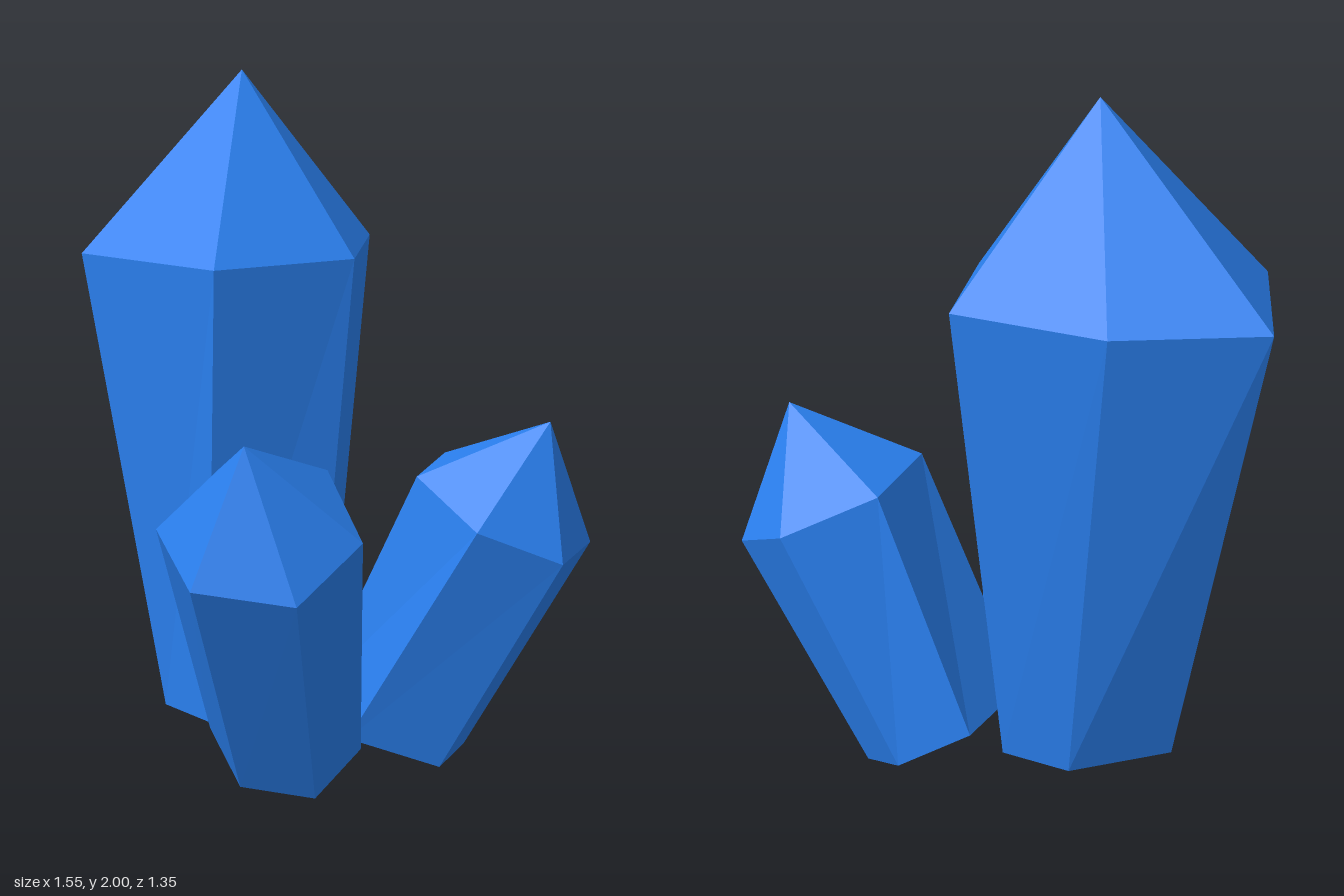
import * as THREE from 'three';

const blue = new THREE.MeshStandardMaterial({ color: 0x2a80f0, flatShading: true });
const cyan = new THREE.MeshStandardMaterial({ color: 0x10d4ee, flatShading: true });

const vec = (p) => new THREE.Vector3(...p);

function centre(loop) {
  const c = new THREE.Vector3();
  loop.forEach((p) => c.add(p));
  return c.divideScalar(loop.length);
}

// Shrinks a loop toward its centre and moves it along an offset
function inset(loop, scale, offset) {
  const c = centre(loop);
  return loop.map((p) => p.clone().sub(c).multiplyScalar(scale).add(c).add(offset));
}

// Joins successive loops, listed from the top of the surface downward
function skin(name, loops, material) {
  const points = [];
  for (let k = 0; k + 1 < loops.length; k++) {
    const up = loops[k], low = loops[k + 1], n = up.length;
    for (let i = 0; i < n; i++) {
      const j = (i + 1) % n;
      points.push(low[i], low[j], up[j], low[i], up[j], up[i]);
    }
  }
  // Drop the collapsed triangles at tips
  const kept = [];
  for (let i = 0; i < points.length; i += 3) {
    const [a, b, c] = points.slice(i, i + 3);
    if (new THREE.Triangle(a, b, c).getArea() > 1e-7) kept.push(a, b, c);
  }
  const geometry = new THREE.BufferGeometry().setFromPoints(kept);
  geometry.computeVertexNormals();
  const mesh = new THREE.Mesh(geometry, material);
  mesh.name = name;
  return mesh;
}

// Six-sided pointed crystal with a hollow in its base
function crystal(name, { tip, shoulder, base }) {
  const top = shoulder.map(vec), foot = base.map(vec);
  const apex = top.map(() => vec(tip));
  const axis = centre(top).sub(centre(foot)).normalize();
  const rim = inset(foot, 0.84, new THREE.Vector3());
  const floor = inset(foot, 0.5, axis.clone().multiplyScalar(0.12));
  const middle = floor.map(() => centre(floor));
  const group = new THREE.Group();
  group.name = name;
  group.add(skin('crystalShell', [apex, top, foot, rim], blue));
  group.add(skin('baseHollow', [rim, floor, middle], cyan));
  return group;
}

const crystals = {
  tallCrystal: {
    tip: [-0.235, 2, -0.2],
    shoulder: [[-0.78, 1.5, -0.26], [-0.515, 1.5, 0.185], [-0.045, 1.5, 0.185],
      [0.16, 1.5, -0.19], [-0.035, 1.5, -0.57], [-0.47, 1.5, -0.515]],
    base: [[-0.44, 0.15, -0.126], [-0.3, 0.15, 0.105], [-0.11, 0.155, 0.14],
      [0.07, 0.16, -0.14], [-0.06, 0.16, -0.41], [-0.257, 0.15, -0.37]],
  },
  frontCrystal: {
    tip: [0.325, 1.155, 0.55],
    shoulder: [[0.055, 0.99, 0.3], [0.04, 0.885, 0.55], [0.245, 0.79, 0.67],
      [0.5, 0.775, 0.57], [0.53, 0.88, 0.32], [0.315, 1, 0.165]],
    base: [[0.02, 0.22, 0.04], [-0.075, 0.16, 0.18], [0.1, 0.06, 0.27],
      [0.3, 0.05, 0.19], [0.32, 0.13, -0.01], [0.2, 0.2, -0.085]],
  },
  backCrystal: {
    tip: [0.665, 1.06, -0.425],
    shoulder: [[0.285, 0.89, -0.5], [0.365, 0.9, -0.21], [0.6, 0.795, -0.145],
      [0.775, 0.69, -0.32], [0.725, 0.675, -0.59], [0.49, 0.78, -0.675]],
    base: [[0.04, 0.19, -0.43], [0.07, 0.2, -0.14], [0.24, 0.12, -0.065],
      [0.44, 0.015, -0.25], [0.4, 0, -0.46], [0.22, 0.08, -0.535]],
  },
};

export function createModel() {
  const model = new THREE.Group();
  model.name = 'crystalCluster';
  for (const [name, shape] of Object.entries(crystals)) model.add(crystal(name, shape));
  return model;
}
